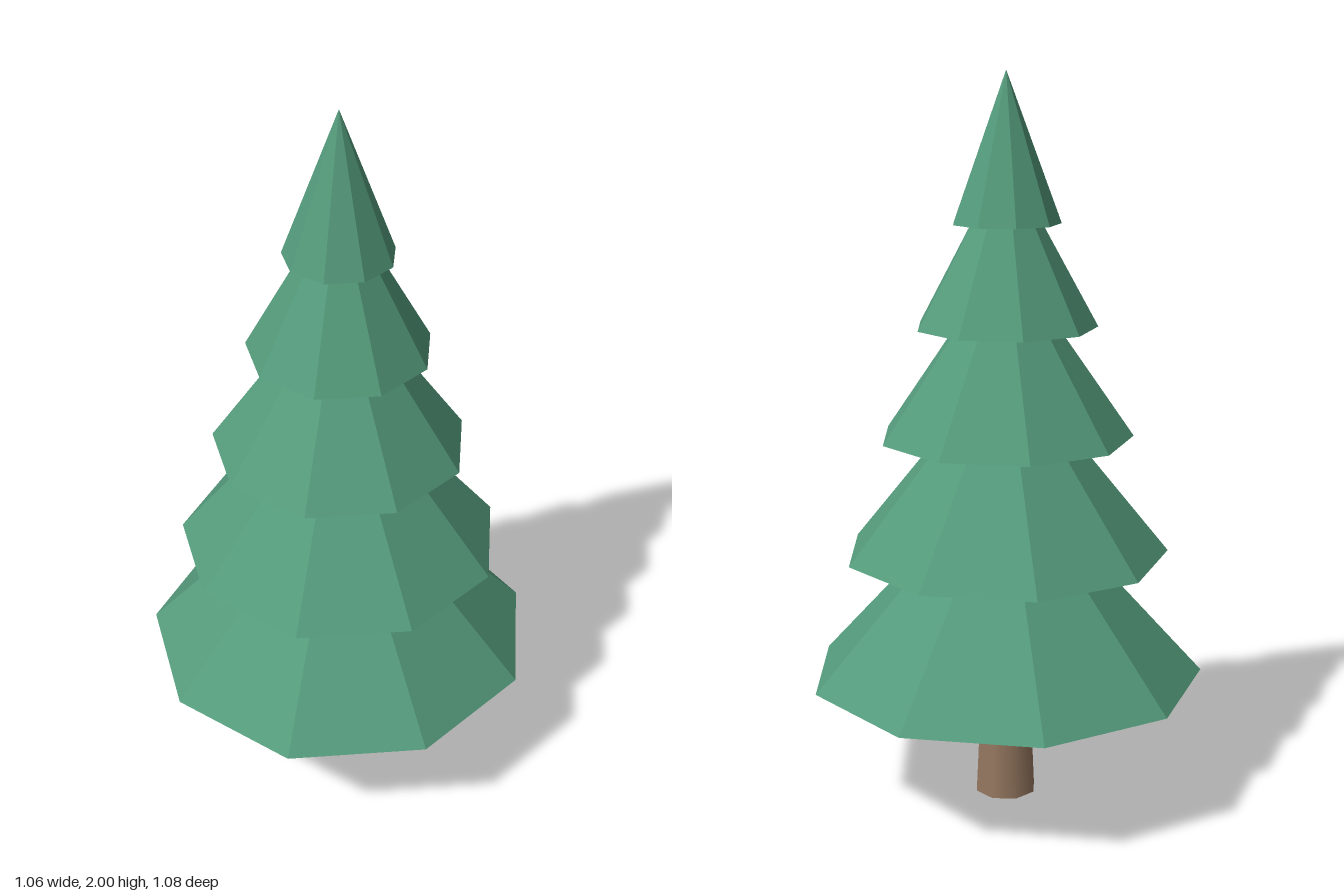
import * as THREE from 'three';

export function createModel() {
  const tree = new THREE.Group();
  tree.name = 'pineTree';

  const needles = new THREE.MeshStandardMaterial({ color: 0x549a7b, flatShading: true });
  needles.name = 'needleGreen';
  const bark = new THREE.MeshStandardMaterial({ color: 0x967860 });
  bark.name = 'barkBrown';

  // The nine-sided crown is not symmetric in x, so the axis sits slightly left of centre
  const axisX = -0.017;

  // Tapered trunk, running a little way into the lowest tier
  const trunkHeight = 0.4;
  const trunk = new THREE.Mesh(new THREE.CylinderGeometry(0.068, 0.087, trunkHeight, 8), bark);
  trunk.name = 'trunk';
  trunk.position.set(axisX, trunkHeight / 2, 0);
  tree.add(trunk);

  // Stacked branch tiers, each a closed cone with one corner on +x: [base y, radius, height]
  const tiers = [
    [0.355, 0.547, 0.6],
    [0.705, 0.447, 0.55],
    [1.03, 0.347, 0.5],
    [1.33, 0.247, 0.45],
    [1.605, 0.147, 0.395],
  ];
  tiers.forEach(([baseY, radius, height], i) => {
    const tier = new THREE.Mesh(new THREE.ConeGeometry(radius, height, 9), needles);
    tier.name = `branchTier${i + 1}`;
    tier.position.set(axisX, baseY + height / 2, 0);
    tier.rotation.y = Math.PI / 2;
    tree.add(tier);
  });

  return tree;
}
